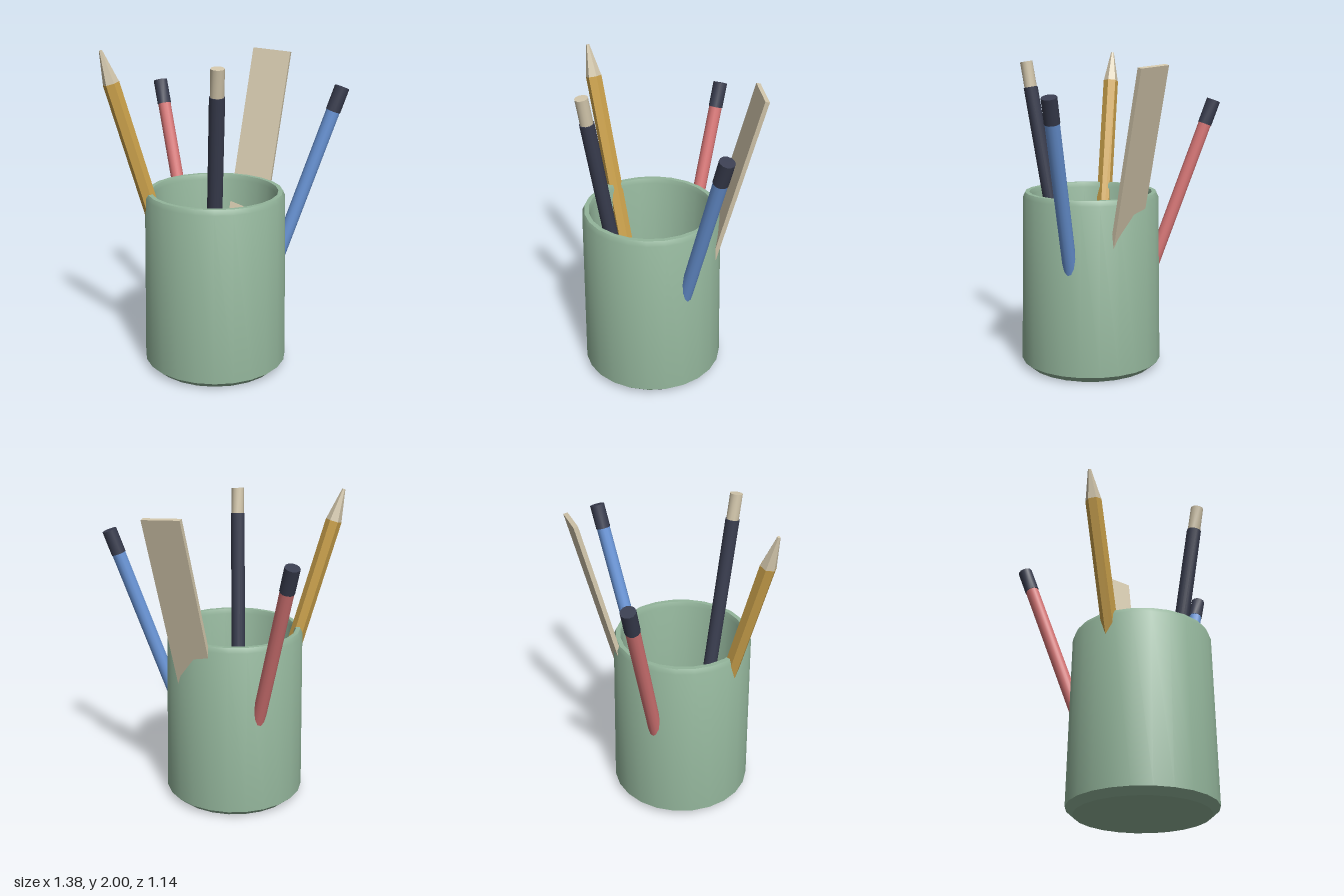
import * as THREE from 'three';
import { toCreasedNormals } from 'three/addons/utils/BufferGeometryUtils.js';

const paint = (name, color) => {
  const m = new THREE.MeshStandardMaterial({ color });
  m.name = name;
  return m;
};

export function createModel() {
  const green = paint('sage green', 0x93b59b);
  const dark = paint('dark slate', 0x393d4f);
  const cream = paint('cream wood', 0xd2c6ab);
  const red = paint('coral red', 0xd97777);
  const blue = paint('blue', 0x6a96d8);
  const ochre = paint('ochre', 0xcda34c);

  const model = new THREE.Group();
  model.name = 'penCup';

  const add = (parent, name, geometry, material) => {
    const mesh = new THREE.Mesh(geometry, material);
    mesh.name = name;
    parent.add(mesh);
    return mesh;
  };

  // Cup: bevelled foot, slightly tapered wall, rounded rim, hollow inside
  const cup = new THREE.Group();
  cup.name = 'cup';
  cup.position.set(0.02, 0, 0.117);
  model.add(cup);
  const profile = [
    [0, 0], [0.405, 0], [0.45, 0.04], [0.432, 1.1], [0.418, 1.13],
    [0.39, 1.13], [0.38, 1.1], [0.36, 0.07], [0, 0.07],
  ].map(([r, y]) => new THREE.Vector2(r, y));
  add(cup, 'cupBody', toCreasedNormals(new THREE.LatheGeometry(profile, 24), 0.5), green);
  const floor = add(cup, 'cupFloor', new THREE.CircleGeometry(0.36, 24), dark);
  floor.rotation.x = -Math.PI / 2;
  floor.position.y = 0.076;

  // A leaning stick; each section is [name, start height, end height, start radius, end radius, material]
  function stick(name, bottom, top, sides, sections) {
    const a = new THREE.Vector3(...bottom);
    const b = new THREE.Vector3(...top);
    const axis = b.clone().sub(a);
    const group = new THREE.Group();
    group.name = name;
    group.position.copy(a);
    group.quaternion.setFromUnitVectors(new THREE.Vector3(0, 1, 0), axis.clone().normalize());
    const scale = axis.length() / axis.y;
    for (const [part, y0, y1, r0, r1, material] of sections) {
      const length = (y1 - y0) * scale;
      const geometry = new THREE.CylinderGeometry(r1, r0, length, sides);
      geometry.translate(0, (y0 - a.y) * scale + length / 2, 0);
      add(group, part, toCreasedNormals(geometry, 0.7), material);
    }
    model.add(group);
  }

  stick('redPen', [-0.13, 0.06, 0.0], [-0.65, 1.7, -0.295], 12, [
    ['redPenBody', 0.06, 1.55, 0.042, 0.042, red],
    ['redPenCap', 1.55, 1.7, 0.045, 0.045, dark],
  ]);
  stick('bluePen', [0.17, 0.06, 0.025], [0.645, 1.755, -0.335], 12, [
    ['bluePenBody', 0.06, 1.61, 0.043, 0.043, blue],
    ['bluePenCap', 1.61, 1.755, 0.046, 0.046, dark],
  ]);
  stick('darkPencil', [0.06, 0.06, 0.23], [0.256, 1.94, 0.483], 12, [
    ['darkPencilBody', 0.06, 1.78, 0.045, 0.045, dark],
    ['darkPencilEraser', 1.78, 1.94, 0.04, 0.04, cream],
  ]);
  stick('hexPencil', [-0.075, 0.06, 0.19], [-0.493, 1.997, 0.542], 6, [
    ['hexPencilBody', 0.06, 1.805, 0.05, 0.05, ochre],
    ['hexPencilTip', 1.805, 1.997, 0.049, 0.01, cream],
  ]);

  // Ruler leaning over the back of the rim, turned a little
  const low = new THREE.Vector3(0.02, 0.06, -0.055);
  const high = new THREE.Vector3(0.066, 1.92, -0.535);
  const up = high.clone().sub(low);
  const length = up.length();
  up.normalize();
  const front = new THREE.Vector3(0.98, -0.05, -0.18).cross(up).normalize();
  const side = up.clone().cross(front);
  const ruler = add(model, 'ruler', new THREE.BoxGeometry(0.25, length, 0.027), cream);
  ruler.quaternion.setFromRotationMatrix(new THREE.Matrix4().makeBasis(side, up, front));
  ruler.position.copy(low).add(high).multiplyScalar(0.5);

  return model;
}
